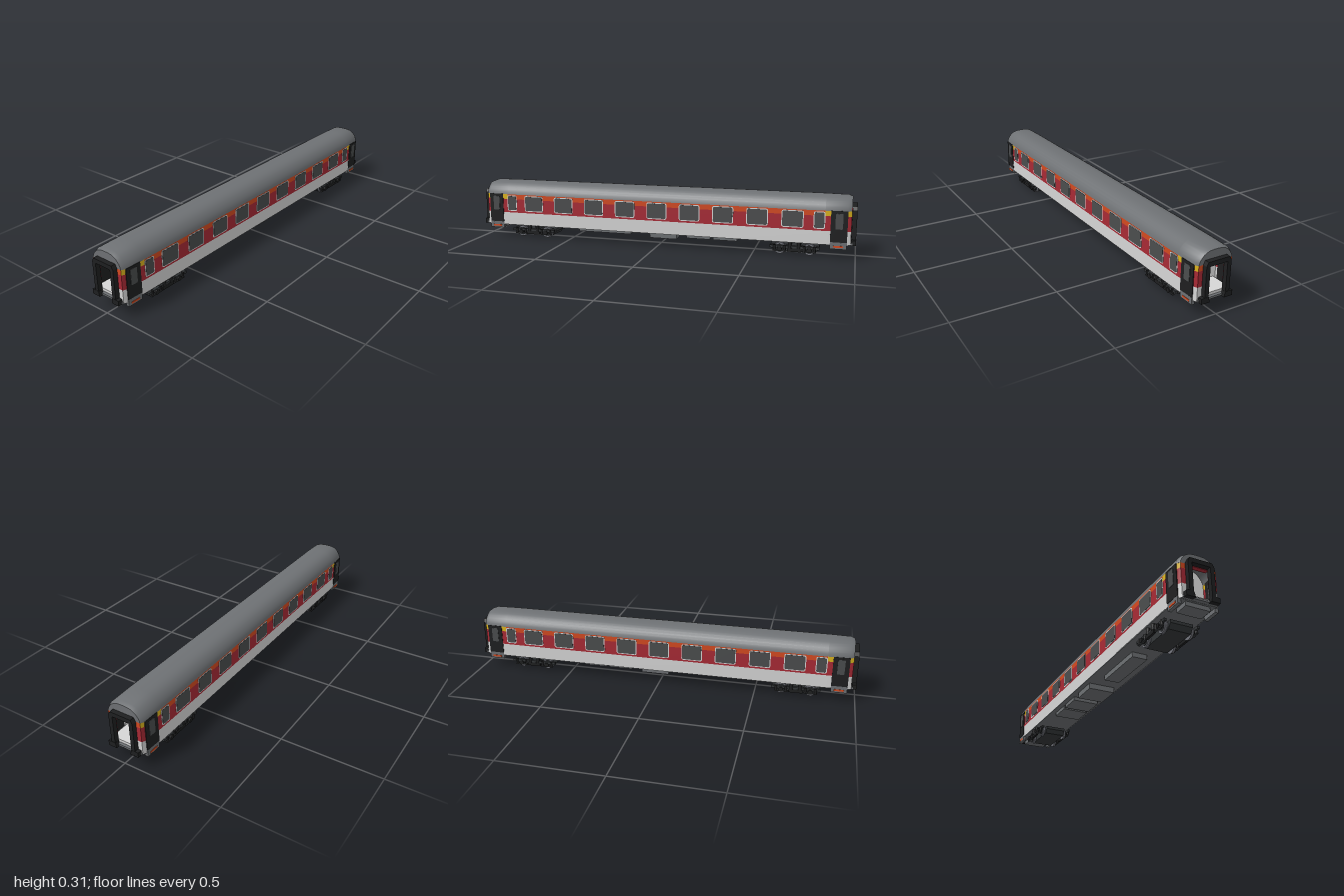
import * as THREE from 'three';
import { toCreasedNormals } from 'three/addons/utils/BufferGeometryUtils.js';

const mat = (name, color, side = THREE.DoubleSide) => new THREE.MeshStandardMaterial({ name, color, side });

export function createModel() {
  const M = {
    roof: mat('roof grey', 0x6e7174),
    pale: mat('pale grey', 0xd6d6d6),
    red: mat('red', 0xa82a35),
    orange: mat('orange', 0xd44a20),
    yellow: mat('yellow', 0xdcb41e),
    black: mat('black', 0x1e1f20),
    glass: mat('glass grey', 0x4b4d4e),
    white: mat('white', 0xf8f8f8),
    dark: mat('running gear grey', 0x35383a),
    wheel: mat('wheel grey', 0x74767e),
  };
  const model = new THREE.Group();
  const add = (parent, name, geo, m, x = 0, y = 0, z = 0) => {
    const mesh = new THREE.Mesh(geo, m);
    mesh.name = name;
    mesh.position.set(x, y, z);
    parent.add(mesh);
    return mesh;
  };
  // box given by its limits
  const box = (parent, name, m, x0, x1, y0, y1, z0, z1) =>
    add(parent, name, new THREE.BoxGeometry(x1 - x0, y1 - y0, z1 - z0), m, (x0 + x1) / 2, (y0 + y1) / 2, (z0 + z1) / 2);
  const group = (name, parent = model) => {
    const g = new THREE.Group();
    g.name = name;
    parent.add(g);
    return g;
  };
  const poly = (pts) => new THREE.Shape(pts.map(([x, y]) => new THREE.Vector2(x, y)));
  const extrude = (shape, depth) => new THREE.ExtrudeGeometry(shape, { depth, bevelEnabled: false, curveSegments: 5 });
  const roundRect = (w, h, r) => {
    const s = new THREE.Shape(), a = w / 2 - r, b = h / 2 - r;
    s.absarc(a, b, r, 0, Math.PI / 2);
    s.absarc(-a, b, r, Math.PI / 2, Math.PI);
    s.absarc(-a, -b, r, Math.PI, Math.PI * 1.5);
    s.absarc(a, -b, r, Math.PI * 1.5, Math.PI * 2);
    return s;
  };

  // body tapers towards both ends: [z, width scale]
  const EAVE = 0.238, END = 0.975;
  const half = [[0.85, 1], [0.955, 0.96], [END, 0.87]];
  const stations = [...half.map(([z, s]) => [-z, s]).reverse(), ...half];
  const loft = (pts, rows, scaleY) => {
    const pos = [], idx = [], n = pts.length;
    rows.forEach(([z, s]) => pts.forEach(([x, y]) => pos.push(x * s, scaleY ? EAVE + (y - EAVE) * s : y, z)));
    for (let i = 0; i < rows.length - 1; i++)
      for (let j = 0; j < n - 1; j++) {
        const a = i * n + j, b = a + n;
        idx.push(a, a + 1, b, a + 1, b + 1, b);
      }
    const g = new THREE.BufferGeometry();
    g.setAttribute('position', new THREE.Float32BufferAttribute(pos, 3));
    g.setIndex(idx);
    return toCreasedNormals(g, 0.5);
  };

  // roof
  const arc = [[0.1, EAVE], [0.097, 0.251], [0.091, 0.264], [0.082, 0.276], [0.07, 0.288], [0.055, 0.297], [0.037, 0.303], [0.015, 0.305]];
  const roofLine = [...arc, ...arc.map(([x, y]) => [-x, y]).reverse()];
  const roofRows = stations.map(([z, s]) => [z, Math.abs(z) > 0.96 ? s : 1 - (1 - s) * 0.6]);
  add(model, 'roof', loft(roofLine, roofRows, true), M.roof);

  // sides: painted bands, windows, doors and steps
  for (const turn of [0, Math.PI]) {
    const side = group('side');
    side.rotation.y = turn;
    const band = (name, m, y0, y1, rows) => add(side, name, loft([[0.1, y0], [0.1, y1]], rows), m);
    band('lowerPanel', M.pale, 0.07, 0.138, stations);
    band('redBand', M.red, 0.138, 0.212, stations);
    band('orangeBand', M.orange, 0.212, EAVE, stations.slice(2, 4));
    band('yellowBand', M.yellow, 0.212, EAVE, stations.slice(0, 3));
    band('yellowBand', M.yellow, 0.212, EAVE, stations.slice(3));

    const plate = (name, m, w, h, r, depth, x, y, z, tilt = 0) => {
      add(side, name, extrude(roundRect(w, h, r), depth), m, x, y, z).rotation.y = Math.PI / 2 - tilt;
    };
    const panes = [[-0.823, 0.056], [0.823, 0.056]];
    for (let i = -4; i <= 4; i++) panes.push([i * 0.1735, 0.108]);
    for (const [z, w] of panes) {
      plate('windowFrame', M.pale, w, 0.086, 0.01, 0.0015, 0.0995, 0.19, z);
      plate('windowGlass', M.glass, w - 0.009, 0.077, 0.007, 0.0025, 0.0995, 0.19, z);
    }
    for (const s of [-1, 1]) {
      const z = s * 0.917, tilt = s * 0.038;
      plate('door', M.black, 0.08, 0.155, 0.002, 0.004, 0.096, 0.162, z, tilt);
      plate('doorWindow', M.glass, 0.036, 0.078, 0.006, 0.006, 0.096, 0.188, z, tilt);
      box(side, 'step', M.roof, 0.082, 0.099, 0.05, 0.084, z - 0.04, z + 0.04);
      box(side, 'stepStripe', M.orange, 0.099, 0.101, 0.058, 0.067, z - 0.024, z + 0.024);
    }
  }

  // ends: wall, open vestibule and gangway
  for (const turn of [0, Math.PI]) {
    const end = group('end');
    end.rotation.y = turn;
    const s = 0.87, w = 0.1 * s;
    for (const k of [-1, 1]) {
      const post = (name, m, y0, y1) =>
        add(end, name, new THREE.PlaneGeometry(w - 0.045, y1 - y0), m, k * (w + 0.045) / 2, (y0 + y1) / 2, END);
      post('endLowerPanel', M.pale, 0.07, 0.138);
      post('endRedPanel', M.red, 0.138, 0.212);
      post('endOrangePanel', M.orange, 0.212, EAVE);
      add(end, 'gangwayFoot', extrude(poly([[0.038, 0.068], [0.082, 0.068], [0.082, 0.093], [0.064, 0.095], [0.044, 0.093]]
        .map(([x, y]) => [x * k, y])), 0.022), M.black, 0, 0, 0.978);
      add(end, 'vestibuleWindow', extrude(roundRect(0.022, 0.06, 0.006), 0.003), M.glass, k * 0.021, 0.184, 0.865);
    }
    add(end, 'endRoofPanel', new THREE.ShapeGeometry(poly(roofLine.map(([x, y]) => [x * s, EAVE + (y - EAVE) * s]))), M.roof, 0, 0, END);
    const partition = poly([[-0.098, 0.075], [0.098, 0.075], ...roofLine.map(([x, y]) => [x * 0.97, y - 0.004])]);
    add(end, 'vestibuleWall', new THREE.ShapeGeometry(partition), M.white, 0, 0, 0.865);
    box(end, 'vestibuleFloor', M.pale, -0.086, 0.086, 0.078, 0.094, 0.866, 0.97);
    box(end, 'sill', M.roof, -0.086, 0.086, 0.07, 0.08, 0.94, 0.984);
    box(end, 'doorLintel', M.red, -0.05, 0.05, 0.233, 0.239, 0.955, 0.976);
    const frame = poly([[-0.065, 0.075], [-0.065, 0.24], [-0.056, 0.258], [0.056, 0.258], [0.065, 0.24], [0.065, 0.075],
      [0.045, 0.075], [0.045, 0.236], [-0.045, 0.236], [-0.045, 0.075]]);
    add(end, 'gangwayFrame', extrude(frame, 0.023), M.black, 0, 0, 0.976);
    box(end, 'endUnderBox', M.roof, -0.06, 0.06, 0.048, 0.07, 0.885, 0.955);
  }

  // underframe and equipment boxes
  box(model, 'underframe', M.roof, -0.097, 0.097, 0.069, 0.077, -0.87, 0.87);
  for (const k of [-1, 1]) box(model, 'underframeEnd', M.roof, -0.088, 0.088, 0.069, 0.077, k * 0.915 - 0.05, k * 0.915 + 0.05);
  for (const [z0, z1, y, x] of [[0.16, 0.455, 0.044, 0.04], [-0.1, 0.045, 0.04, 0.07], [-0.278, -0.155, 0.05, 0.07], [-0.417, -0.295, 0.05, 0.07]])
    box(model, 'equipmentBox', M.roof, -x, x, y, 0.07, z0, z1);

  // bogies
  const cyl = (r, h, n = 20) => new THREE.CylinderGeometry(r, r, h, n).rotateZ(Math.PI / 2);
  for (const bz of [-0.707, 0.707]) {
    const bogie = group('bogie');
    bogie.position.z = bz;
    const hull = poly([[-0.12, 0.035], [-0.1, 0.013], [0.1, 0.013], [0.12, 0.035], [0.12, 0.05], [-0.12, 0.05]]);
    add(bogie, 'bogieCover', extrude(hull, 0.112), M.dark, -0.056).rotation.y = Math.PI / 2;
    box(bogie, 'bolster', M.dark, -0.075, 0.075, 0.048, 0.07, -0.03, 0.03);
    for (const k of [-1, 1]) {
      box(bogie, 'sideFrame', M.dark, k * 0.083 - 0.006, k * 0.083 + 0.006, 0.036, 0.049, -0.122, 0.122);
      box(bogie, 'sideFrameDrop', M.black, k * 0.084 - 0.006, k * 0.084 + 0.006, 0.02, 0.038, -0.035, 0.035);
      for (const z of [-0.022, 0.022])
        add(bogie, 'mainSpring', new THREE.CylinderGeometry(0.009, 0.009, 0.03, 12), M.black, k * 0.084, 0.053, z);
      for (const wz of [-0.073, 0.073]) {
        add(bogie, 'wheel', cyl(0.029, 0.01, 28), M.wheel, k * 0.067, 0.032, wz);
        add(bogie, 'wheelFlange', cyl(0.032, 0.003, 28), M.wheel, k * 0.061, 0.032, wz);
        add(bogie, 'wheelHub', cyl(0.021, 0.003), M.dark, k * 0.0725, 0.032, wz);
        add(bogie, 'axleBox', cyl(0.012, 0.02, 14), M.black, k * 0.084, 0.032, wz);
        for (const d of [-0.025, 0.025])
          add(bogie, 'axleSpring', new THREE.CylinderGeometry(0.007, 0.007, 0.028, 10), M.black, k * 0.086, 0.037, wz + d);
        box(bogie, 'axleArm', M.dark, k * 0.086 - 0.005, k * 0.086 + 0.005, 0.02, 0.026, wz - 0.034, wz + 0.034);
      }
    }
    for (const wz of [-0.073, 0.073]) add(bogie, 'axle', cyl(0.007, 0.16, 12), M.wheel, 0, 0.032, wz);
  }
  return model;
}
